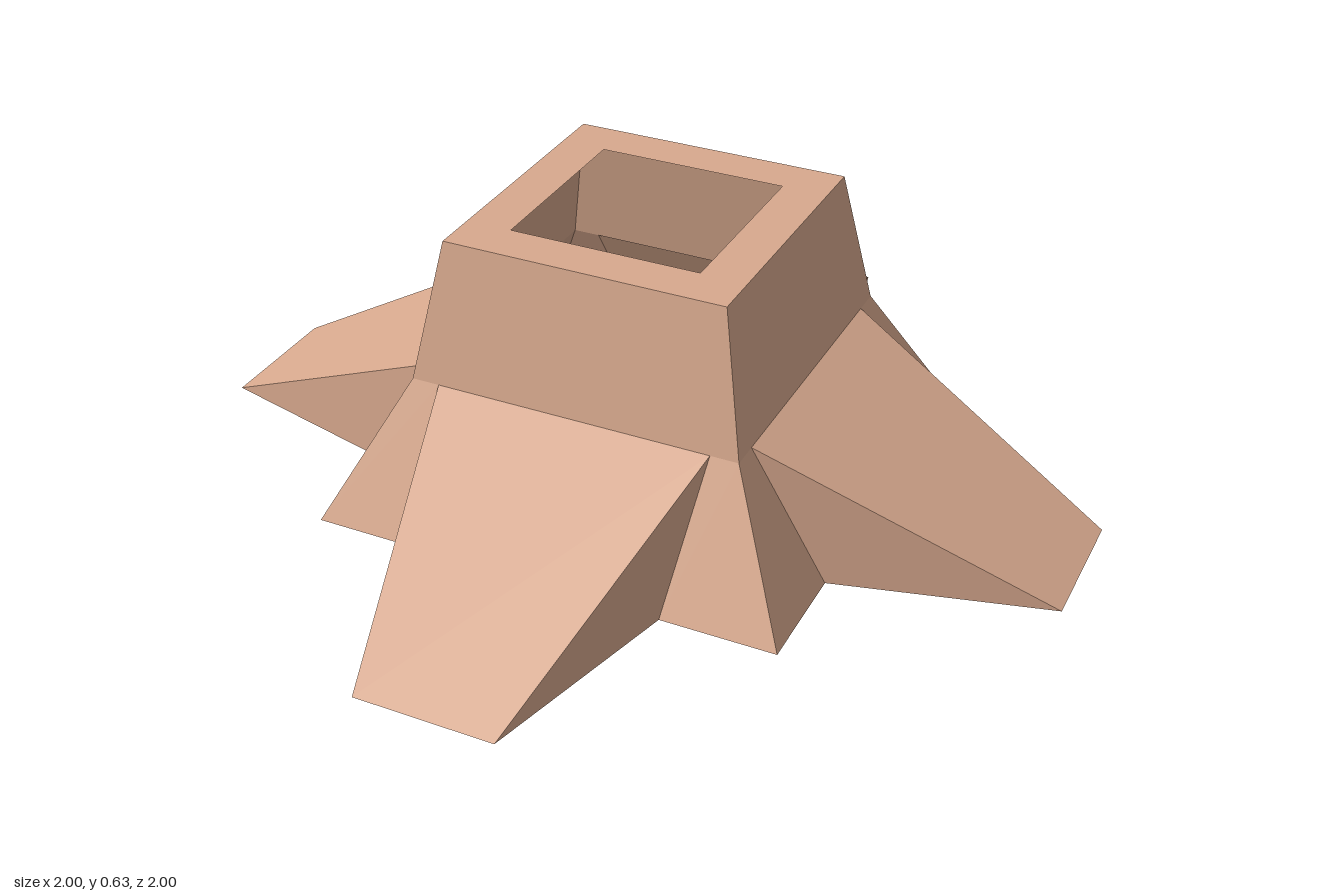
import * as THREE from 'three';

const clay = new THREE.MeshStandardMaterial({ color: 0xd8a98e, side: THREE.DoubleSide });
clay.name = 'clay';

// Key heights and half-widths
const TOP_Y = 0.626, MID_Y = 0.313;
const TOP = 0.318, MID = 0.375, BASE = 0.532, HOLE = 0.215;
const LEG_TOP = 0.312, LEG_ROOT = 0.274, LEG_TIP = 0.156;

// Flat-shaded mesh from polygons, each a convex loop, counter-clockwise from outside
function facets(name, polygons) {
  const points = [];
  for (const p of polygons) {
    for (let i = 1; i < p.length - 1; i++) points.push(...p[0], ...p[i], ...p[i + 1]);
  }
  const geometry = new THREE.BufferGeometry();
  geometry.setAttribute('position', new THREE.Float32BufferAttribute(points, 3));
  geometry.computeVertexNormals();
  const mesh = new THREE.Mesh(geometry, clay);
  mesh.name = name;
  return mesh;
}

// Horizontal plate from a shape, facing up or down
function plate(name, shape, y, facing) {
  const geometry = new THREE.ShapeGeometry(shape);
  geometry.rotateX(-facing * Math.PI / 2);
  geometry.translate(0, y, 0);
  const mesh = new THREE.Mesh(geometry, clay);
  mesh.name = name;
  return mesh;
}

const square = h => [[-h, -h], [h, -h], [h, h], [-h, h]].map(([x, y]) => new THREE.Vector2(x, y));

// One side: upper wall, two skirt pieces and a sloping leg that opens into the shell
function createSide() {
  const side = new THREE.Group();
  side.name = 'side';

  side.add(facets('upperWall', [
    [[-MID, MID_Y, MID], [MID, MID_Y, MID], [TOP, TOP_Y, TOP], [-TOP, TOP_Y, TOP]],
  ]));

  const shoulderL = [-LEG_TOP, MID_Y, MID], shoulderR = [LEG_TOP, MID_Y, MID];
  const rootL = [-LEG_ROOT, 0, BASE], rootR = [LEG_ROOT, 0, BASE];
  const tipL = [-LEG_TIP, 0, 1], tipR = [LEG_TIP, 0, 1];

  side.add(facets('skirt', [
    [[-BASE, 0, BASE], rootL, shoulderL, [-MID, MID_Y, MID]],
    [rootR, [BASE, 0, BASE], [MID, MID_Y, MID], shoulderR],
  ]));
  side.add(facets('leg', [
    [tipL, tipR, shoulderR, shoulderL],
    [rootL, tipL, shoulderL],
    [tipR, rootR, shoulderR],
  ]));
  return side;
}

export function createModel() {
  const model = new THREE.Group();
  model.name = 'hollowBase';

  for (let i = 0; i < 4; i++) {
    const side = createSide();
    side.rotation.y = i * Math.PI / 2;
    model.add(side);
  }

  // Rim around the square opening
  const rim = new THREE.Shape(square(TOP));
  rim.holes.push(new THREE.Path(square(HOLE).reverse()));
  model.add(plate('rim', rim, TOP_Y, 1));

  // Star-shaped floor under the shell and legs
  const outline = [];
  for (let i = 0; i < 4; i++) {
    for (const [x, y] of [[BASE, -BASE], [BASE, -LEG_ROOT], [1, -LEG_TIP], [1, LEG_TIP], [BASE, LEG_ROOT]]) {
      outline.push(new THREE.Vector2(x, y).rotateAround(new THREE.Vector2(), i * Math.PI / 2));
    }
  }
  model.add(plate('floor', new THREE.Shape(outline), 0, -1));

  return model;
}
